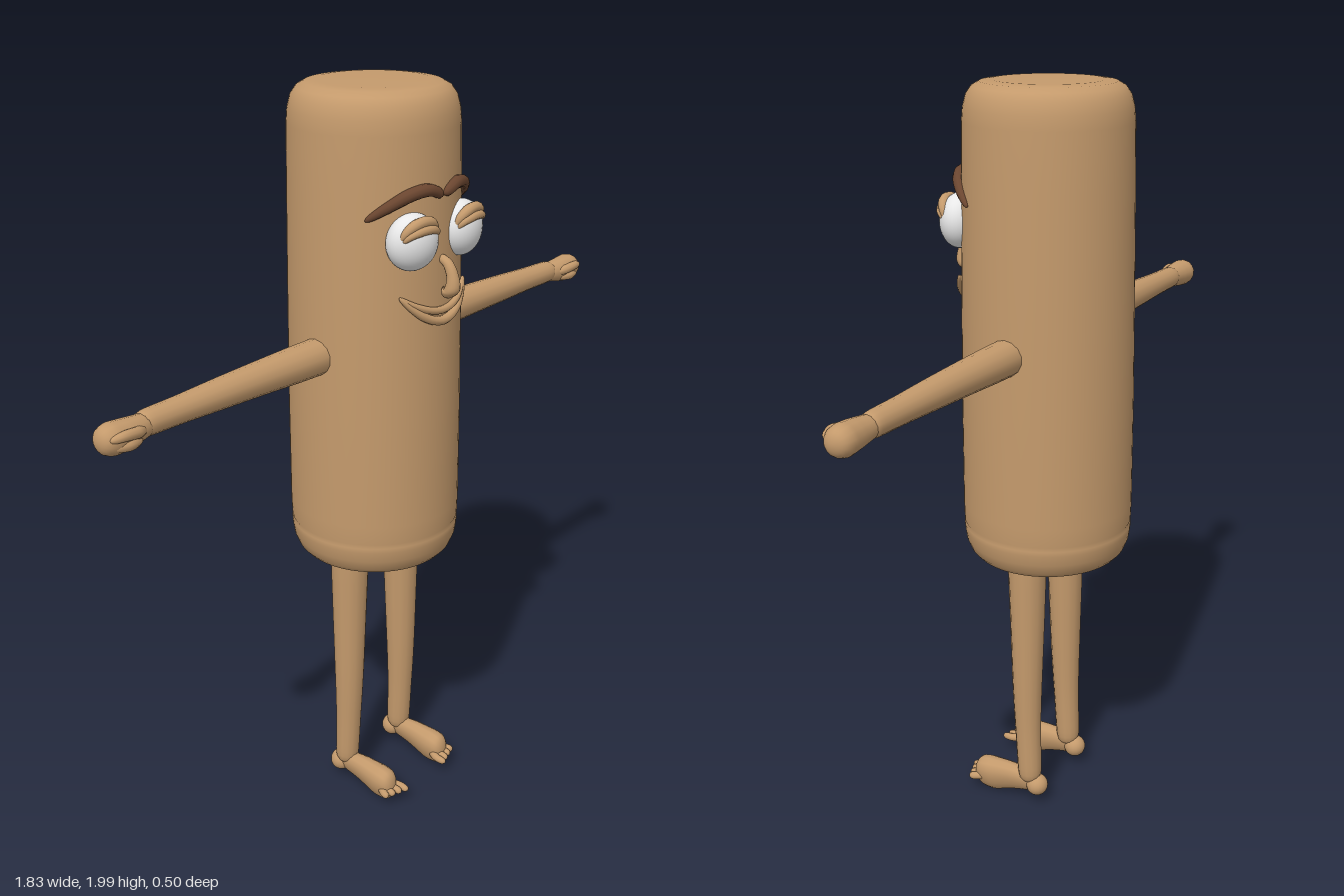
import * as THREE from 'three';
import { mergeVertices } from 'three/addons/utils/BufferGeometryUtils.js';

const V = (x, y, z) => new THREE.Vector3(x, y, z);

// Rounded tube along a smooth path; radii are spread evenly over its length.
function sweep(points, radii, { seg = 32, sides = 14, round = 10, warp } = {}) {
  const curve = new THREE.CatmullRomCurve3(points);
  const geo = new THREE.TubeGeometry(curve, seg, 1, sides, false);
  const pos = geo.attributes.position;
  const d = new THREE.Vector3();
  for (let i = 0; i <= seg; i++) {
    // rings gather towards the ends so that the tips stay round
    const t = 0.5 - 0.5 * Math.cos((Math.PI * i) / seg);
    const old = curve.getPointAt(i / seg), centre = curve.getPointAt(t);
    const f = t * (radii.length - 1);
    const k = Math.min(Math.floor(f), radii.length - 2);
    const r = THREE.MathUtils.lerp(radii[k], radii[k + 1], f - k);
    const cap = Math.sqrt(Math.max(0, 1 - Math.abs(2 * t - 1) ** round));
    for (let j = 0; j <= sides; j++) {
      const n = i * (sides + 1) + j;
      d.fromBufferAttribute(pos, n).sub(old);
      if (warp) warp(d);
      d.multiplyScalar(r * cap).add(centre);
      pos.setXYZ(n, d.x, d.y, d.z);
    }
  }
  geo.deleteAttribute('uv');
  geo.deleteAttribute('normal');
  const out = mergeVertices(geo, 1e-5);
  out.computeVertexNormals();
  return out;
}

export function createModel() {
  const model = new THREE.Group();
  const tan = new THREE.MeshStandardMaterial({ color: 0xc49a6c, side: THREE.DoubleSide });
  const brown = new THREE.MeshStandardMaterial({ color: 0x6b4630 });
  const white = new THREE.MeshStandardMaterial({ color: 0xececec });
  tan.name = 'tan skin';
  brown.name = 'dark brown hair';
  white.name = 'eye white';

  const add = (name, geo, mat, parent = model) => {
    const mesh = new THREE.Mesh(geo, mat);
    mesh.name = name;
    parent.add(mesh);
    return mesh;
  };

  // Hollow tubular body: inner wall, rolled bottom rim, outer wall, rounded top
  const profile = [
    [0, 1.9], [0.165, 1.88], [0.17, 0.82], [0.165, 0.775], [0.168, 0.757], [0.18, 0.75],
    [0.196, 0.755], [0.21, 0.77], [0.221, 0.797], [0.225, 0.825], [0.2255, 0.838],
    [0.223, 0.844], [0.2255, 0.85], [0.227, 0.9], [0.226, 1.2], [0.222, 1.5], [0.218, 1.75],
    [0.215, 1.9], [0.212, 1.935], [0.204, 1.965], [0.19, 1.985], [0.17, 1.996], [0.14, 2], [0, 2],
  ].map(([r, y]) => new THREE.Vector2(r, y));
  add('body', new THREE.LatheGeometry(profile, 64), tan).position.z = -0.02;

  // Nose
  add('nose', sweep(
    [V(0, 1.6, 0.19), V(0, 1.585, 0.218), V(0, 1.55, 0.234), V(0, 1.519, 0.23), V(0, 1.51, 0.205)],
    [0.012, 0.013, 0.015, 0.02, 0.019], { round: 8 }), tan);

  // Smile: two lips that meet at the corners
  const lip = (sag, depth, r) => {
    const pts = [];
    for (let i = -4; i <= 4; i++) {
      const x = 0.125 * (i / 4);
      const z = -0.02 + Math.sqrt(0.224 ** 2 - x * x);
      pts.push(V(x, 1.517 - sag * (1 - (i / 4) ** 2), z + depth));
    }
    return sweep(pts, [r * 0.55, r, r * 1.1, r, r * 0.55], { seg: 40, sides: 10, round: 20 });
  };
  add('upperLip', lip(0.05, 0.002, 0.009), tan);
  add('lowerLip', lip(0.077, 0.003, 0.011), tan);

  for (const s of [1, -1]) {
    const side = s > 0 ? 'left' : 'right';
    const group = (name) => {
      const g = new THREE.Group();
      g.name = side + name;
      model.add(g);
      return g;
    };

    // Eye with a heavy lid and an arched brow
    const face = group('EyeGroup');
    const eye = add(side + 'Eye', new THREE.SphereGeometry(1, 32, 24), white, face);
    eye.scale.set(0.069, 0.07, 0.052);
    eye.position.set(s * 0.094, 1.652, 0.182);
    eye.rotation.y = s * 0.25;
    const lid = (name, rise, z, r) => {
      const pts = [];
      for (let i = 0; i <= 6; i++) {
        const a = (Math.PI * i) / 6;
        pts.push(V(s * (0.095 + 0.054 * Math.cos(a)), 1.663 + rise * Math.sin(a),
          z + 0.022 * Math.sin(a) - s * s * 0.006 * Math.cos(a)));
      }
      add(side + name, sweep(pts, [r * 0.6, r, r, r * 0.6], { seg: 28, sides: 10 }), tan, face);
    };
    lid('UpperLid', 0.043, 0.197, 0.014);
    lid('LowerLid', 0.025, 0.206, 0.011);
    add(side + 'Eyebrow', sweep(
      [V(s * 0.004, 1.752, 0.2), V(s * 0.05, 1.771, 0.197), V(s * 0.1, 1.764, 0.18),
        V(s * 0.145, 1.737, 0.148), V(s * 0.18, 1.705, 0.108)],
      [0.014, 0.016, 0.016, 0.013, 0.008], { sides: 10, round: 12 }), brown, face);

    // Arm ending in a small closed hand with the thumb in front
    const arm = group('ArmGroup');
    add(side + 'Arm', sweep(
      [V(s * 0.17, 1.349, -0.02), V(s * 0.45, 1.35, -0.018), V(s * 0.8, 1.347, -0.016)],
      [0.048, 0.046, 0.042, 0.038, 0.033, 0.031], { round: 40 }), tan, arm);
    add(side + 'Hand', sweep(
      [V(s * 0.76, 1.346, -0.016), V(s * 0.83, 1.343, -0.011), V(s * 0.914, 1.342, -0.014)],
      [0.028, 0.031, 0.036, 0.039, 0.036], { round: 6 }), tan, arm);
    add(side + 'Thumb', sweep(
      [V(s * 0.79, 1.342, 0.002), V(s * 0.83, 1.351, 0.02), V(s * 0.87, 1.355, 0.023), V(s * 0.9, 1.35, 0.015)],
      [0.01, 0.014, 0.013, 0.01], { sides: 10, round: 6 }), tan, arm);
    add(side + 'CurledFingers', sweep(
      [V(s * 0.81, 1.328, 0.008), V(s * 0.85, 1.328, 0.018), V(s * 0.89, 1.33, 0.01)],
      [0.012, 0.014, 0.012], { sides: 10, round: 6 }), tan, arm);

    // Leg
    const leg = group('LegGroup');
    add(side + 'Leg', sweep(
      [V(s * 0.106, 0.9, -0.015), V(s * 0.109, 0.6, -0.017), V(s * 0.113, 0.3, -0.019), V(s * 0.115, 0.07, -0.028)],
      [0.053, 0.052, 0.047, 0.042, 0.036, 0.033], { round: 40 }), tan, leg);

    // Foot with a narrow sole, a round heel and small toes
    const footX = s * 0.115;
    add(side + 'Foot', sweep(
      [V(footX, 0.07, -0.055), V(footX, 0.067, 0.03), V(footX, 0.056, 0.1), V(footX, 0.053, 0.148)],
      [0.03, 0.036, 0.044, 0.052, 0.05],
      { round: 8, warp: (d) => { d.x *= 0.62 + 0.2 * d.y; } }), tan, leg);
    const heel = add(side + 'Heel', new THREE.SphereGeometry(0.031, 20, 14), tan, leg);
    heel.position.set(footX, 0.064, -0.05);
    [0.178, 0.17, 0.163, 0.156].forEach((tip, i) => {
      const x = s * (0.086 + i * 0.02);
      add(side + 'Toe' + (i + 1), sweep(
        [V(s * (0.1 + i * 0.01), 0.05, 0.115), V(x, 0.048, 0.145), V(x, 0.047, tip)],
        [0.012, 0.011, 0.01], { seg: 12, sides: 10, round: 6 }), tan, leg);
    });
  }
  return model;
}
